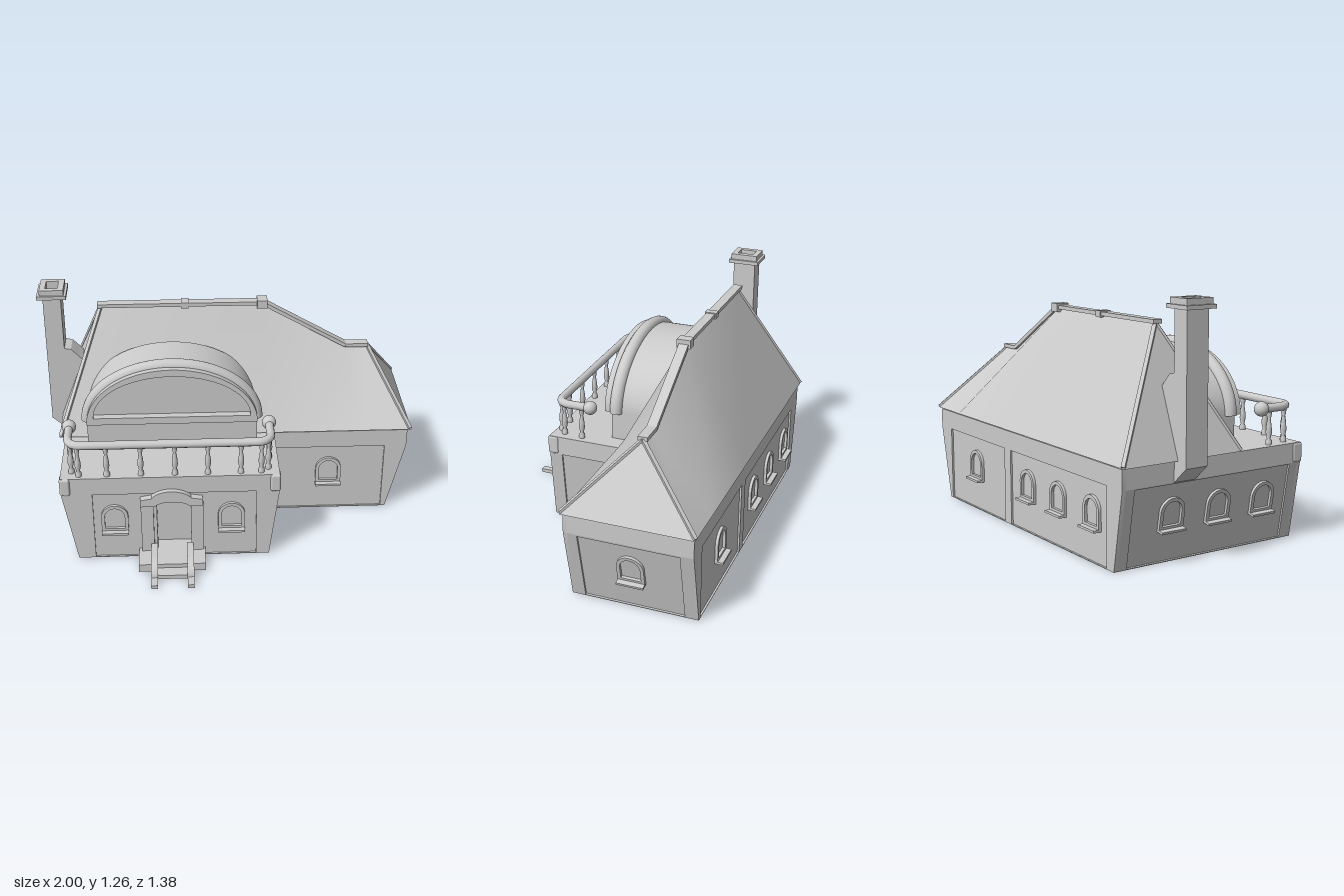
import * as THREE from 'three';
import { toCreasedNormals } from 'three/addons/utils/BufferGeometryUtils.js';
import { RoundedBoxGeometry } from 'three/addons/geometries/RoundedBoxGeometry.js';

const mat = new THREE.MeshStandardMaterial({ color: 0xcccccc, side: THREE.DoubleSide });
const V = (x, y, z) => new THREE.Vector3(x, y, z);

function add(parent, name, geo, x = 0, y = 0, z = 0) {
  const m = new THREE.Mesh(geo, mat);
  m.name = name;
  m.position.set(x, y, z);
  parent.add(m);
  return m;
}
// box given by its limits on each axis
const box = (p, name, x0, x1, y0, y1, z0, z1) =>
  add(p, name, new THREE.BoxGeometry(x1 - x0, y1 - y0, z1 - z0), (x0 + x1) / 2, (y0 + y1) / 2, (z0 + z1) / 2);
const poly = pts => new THREE.Shape(pts.map(p => new THREE.Vector2(p[0], p[1])));
const rect = (x0, x1, y0, y1) => poly([[x0, y0], [x1, y0], [x1, y1], [x0, y1]]);
// extrude a shape between two depths
function slab(p, name, shape, z0, z1) {
  const g = new THREE.ExtrudeGeometry(shape, { depth: z1 - z0, bevelEnabled: false, curveSegments: 32 });
  return add(p, name, toCreasedNormals(g, 0.5), 0, 0, z0);
}
// round-headed outline: straight sides up to yc, elliptical head above
function arch(cx, rx, y0, yc, ry) {
  const s = new THREE.Shape();
  s.moveTo(cx - rx, y0);
  s.lineTo(cx + rx, y0);
  s.lineTo(cx + rx, yc);
  s.absellipse(cx, yc, rx, ry, 0, Math.PI, false);
  s.closePath();
  return s;
}
// square beam between two points
function beam(p, name, a, b, w, h) {
  const m = add(p, name, new THREE.BoxGeometry(w, h, a.distanceTo(b)));
  m.position.copy(a).lerp(b, 0.5);
  m.lookAt(b);
}

function windowUnit(p, x) {
  const g = new THREE.Group();
  g.name = 'window';
  const frame = arch(0, 0.07, 0.17, 0.26, 0.07);
  frame.holes.push(arch(0, 0.052, 0.188, 0.26, 0.052));
  slab(g, 'windowFrame', frame, -0.012, 0.005);
  box(g, 'windowSill', -0.07, 0.07, 0.163, 0.175, -0.01, 0.033);
  g.position.x = x;
  p.add(g);
}

// wall with raised border, recessed panels and windows; outer face at local z = 0
function wall(p, name, outline, panels, windows, pos, turn, tilt = 0, door) {
  const g = new THREE.Group();
  g.name = name;
  const sheet = poly(outline), border = poly(outline);
  if (door) sheet.holes.push(door);
  panels.forEach(([a, b]) => border.holes.push(rect(a, b, 0.004, 0.4)));
  slab(g, 'wallSheet', sheet, -0.02, -0.01);
  slab(g, 'wallBorder', border, -0.01, 0);
  windows.forEach(x => windowUnit(g, x));
  g.position.copy(pos);
  g.rotation.set(tilt, turn, 0, 'YXZ');
  p.add(g);
}

// end wall: leaning lower part with an upright band above
function endWall(p, name, xBase, xTop, zMin, zMax, windows) {
  const side = Math.sign(xTop), lean = Math.abs(xTop - xBase), half = (zMax - zMin) / 2, mid = (zMin + zMax) / 2;
  const len = Math.hypot(lean, 0.4);
  wall(p, name, [[-half, 0], [half, 0], [half, len], [-half, len]], [[-half + 0.07, half - 0.07]],
    windows.map(z => (mid - z) * side), V(xBase, 0, mid), side * Math.PI / 2, Math.atan2(lean, 0.4));
  box(p, name + 'Band', Math.min(xTop, xTop - side * 0.02), Math.max(xTop, xTop - side * 0.02), 0.4, 0.5, zMin, zMax);
}

function buildWalls(p) {
  const door = rect(-0.39, -0.21, 0.004, 0.36);
  wall(p, 'frontWall', [[-0.81, 0], [0.2, 0], [0.25, 0.4], [0.25, 0.5], [-0.88, 0.5], [-0.88, 0.4]],
    [[-0.72, 0.13]], [-0.61, 0], V(0, 0, 0.41), 0, 0, door);
  wall(p, 'wingFrontWall', [[0.1, 0], [0.885, 0], [0.98, 0.4], [0.98, 0.5], [0.1, 0.5]],
    [[0.165, 0.86]], [0.555], V(0, 0, 0), 0);
  wall(p, 'backWall', [[-0.885, 0], [0.81, 0], [0.88, 0.4], [0.88, 0.5], [-0.98, 0.5], [-0.98, 0.4]],
    [[-0.86, -0.23], [-0.165, 0.75]], [-0.555, 0.01, 0.31, 0.62], V(0, 0, -0.66), Math.PI);
  endWall(p, 'leftEndWall', 0.885, 0.98, -0.66, 0, [-0.33]);
  endWall(p, 'rightEndWall', -0.81, -0.88, -0.66, 0.41, [-0.36, -0.085, 0.19]);
  endWall(p, 'frontBlockSide', 0.2, 0.25, 0, 0.41, []);
  box(p, 'balconyFloor', -0.88, 0.25, 0.48, 0.5, -0.02, 0.41);
  for (const x of [-0.858, 0.228]) {
    add(p, 'cornerCap', new RoundedBoxGeometry(0.054, 0.1, 0.06, 3, 0.012), x, 0.45, 0.39);
    add(p, 'cornerCorbel', new THREE.CylinderGeometry(0.025, 0.008, 0.05, 16), x, 0.377, 0.388);
  }
}

function buildRoof(p) {
  // each row pairs an eave x with a ridge point
  const rows = [[-0.91, -0.67, 1.13], [0.2, 0.2, 1.13], [0.74, 0.66, 0.862], [1, 0.78, 0.862]];
  const pos = [];
  const tri = (...v) => v.forEach(q => pos.push(...q));
  const eave = (r, z) => [r[0], 0.507, z], ridge = r => [r[1], r[2], -0.33];
  const F = 0.01, B = -0.67;
  for (let i = 0; i < 3; i++) {
    const a = rows[i], b = rows[i + 1];
    tri(eave(a, F), eave(b, F), ridge(b), eave(a, F), ridge(b), ridge(a));
    tri(eave(b, B), eave(a, B), ridge(a), eave(b, B), ridge(a), ridge(b));
  }
  tri(eave(rows[3], F), eave(rows[3], B), ridge(rows[3]));
  tri(eave(rows[0], B), eave(rows[0], F), ridge(rows[0]));
  const g = new THREE.BufferGeometry();
  g.setAttribute('position', new THREE.Float32BufferAttribute(pos, 3));
  add(p, 'roof', toCreasedNormals(g, 0.6));
  // ridge capping, collars and hip strips
  const line = [V(-0.69, 1.13, -0.33), V(0.2, 1.13, -0.33), V(0.66, 0.865, -0.33), V(0.785, 0.865, -0.33)];
  for (let i = 0; i < 3; i++) beam(p, 'ridgeCap', line[i], line[i + 1], 0.05, 0.02);
  box(p, 'ridgeCollar', -0.24, -0.2, 1.112, 1.145, -0.361, -0.299);
  box(p, 'ridgeCollar', 0.17, 0.225, 1.105, 1.15, -0.366, -0.294);
  for (const z of [F, B]) for (const r of [rows[0], rows[3]])
    beam(p, 'hipStrip', V(r[0] * 0.992, 0.515, z), V(r[1], r[2], -0.33), 0.02, 0.012);
}

function buildDormer(p) {
  const cx = -0.3, base = 0.65;
  slab(p, 'dormerBarrel', arch(cx, 0.45, 0.5, base, 0.32), -0.19, 0.09);
  const ring = arch(cx, 0.45, base, base + 0.001, 0.319);
  ring.holes.push(arch(cx, 0.412, base + 0.04, base + 0.041, 0.24));
  slab(p, 'dormerWindowRing', ring, 0.08, 0.13);
  const pts = [];
  for (let i = 0; i <= 40; i++) {
    const a = Math.PI * i / 40;
    pts.push(V(cx + 0.445 * Math.cos(a), base + 0.315 * Math.sin(a), 0.065));
  }
  add(p, 'dormerArchMoulding', new THREE.TubeGeometry(new THREE.CatmullRomCurve3(pts), 64, 0.035, 14, false));
}

function buildBalustrade(p) {
  const y = 0.682, path = new THREE.CurvePath();
  const corner = (a, b, c) => path.add(new THREE.QuadraticBezierCurve3(a, b, c));
  const straight = (a, b) => path.add(new THREE.LineCurve3(a, b));
  straight(V(-0.835, y, 0.19), V(-0.835, y, 0.31));
  corner(V(-0.835, y, 0.31), V(-0.83, y, 0.38), V(-0.75, y, 0.38));
  straight(V(-0.75, y, 0.38), V(0.13, y, 0.38));
  corner(V(0.13, y, 0.38), V(0.2, y, 0.38), V(0.205, y, 0.31));
  straight(V(0.205, y, 0.31), V(0.205, y, 0.19));
  add(p, 'handrail', new THREE.TubeGeometry(path, 90, 0.022, 12, false));
  for (const x of [-0.835, 0.205]) add(p, 'railKnob', new THREE.SphereGeometry(0.037, 20, 14), x, y, 0.19);
  const prof = [[0.016, 0], [0.016, 0.02], [0.009, 0.03], [0.016, 0.06], [0.014, 0.09], [0.008, 0.13], [0.013, 0.145], [0.013, 0.17]];
  const lathe = new THREE.LatheGeometry(prof.map(q => new THREE.Vector2(...q)), 14);
  const spots = [-0.64, -0.465, -0.29, -0.12, 0.05].map(x => [x, 0.38]);
  for (const x of [-0.835, 0.205]) spots.push([x, 0.24], [x + (x < 0 ? 0.012 : -0.012), 0.345]);
  spots.push([-0.785, 0.378], [0.155, 0.378]);
  spots.forEach(([x, z]) => add(p, 'baluster', lathe, x, 0.5, z));
}

function buildEntrance(p) {
  const cx = -0.31;
  // recessed door with jambs and surround
  box(p, 'door', -0.39, -0.21, 0, 0.36, 0.32, 0.33);
  box(p, 'doorSoffit', -0.39, -0.21, 0.355, 0.365, 0.33, 0.4);
  for (const s of [-1, 1]) {
    const j = -0.3 + s * 0.095;
    box(p, 'doorJamb', j - 0.005, j + 0.005, 0, 0.36, 0.33, 0.4);
    const x = cx + s * 0.13;
    box(p, 'doorPilaster', x - 0.033, x + 0.033, 0, 0.34, 0.39, 0.425);
  }
  const hood = new THREE.Shape();
  hood.moveTo(-0.475, 0.335);
  hood.lineTo(-0.4, 0.335);
  hood.bezierCurveTo(-0.37, 0.37, -0.25, 0.37, -0.22, 0.335);
  hood.lineTo(-0.15, 0.335);
  hood.lineTo(-0.15, 0.375);
  hood.lineTo(-0.21, 0.385);
  hood.bezierCurveTo(-0.25, 0.44, -0.38, 0.44, -0.415, 0.385);
  hood.lineTo(-0.475, 0.375);
  slab(p, 'doorHood', hood, 0.395, 0.437);
  // landing, step and curved cheeks
  box(p, 'landing', -0.49, -0.14, 0, 0.045, 0.33, 0.545);
  box(p, 'step', -0.41, -0.21, 0, 0.022, 0.54, 0.61);
  const cheek = new THREE.Shape();
  cheek.moveTo(0.42, 0);
  cheek.lineTo(0.69, 0);
  cheek.lineTo(0.69, 0.021);
  cheek.lineTo(0.625, 0.021);
  cheek.quadraticCurveTo(0.62, 0.07, 0.545, 0.09);
  cheek.lineTo(0.42, 0.09);
  for (const x of [-0.425, -0.237]) {
    const m = slab(p, 'stairCheek', cheek, 0, 0.035);
    m.rotation.y = -Math.PI / 2;
    m.position.set(x + 0.035, 0, 0);
  }
}

function buildChimney(p) {
  const stack = poly([[-0.97, 0.48], [-0.88, 0.4], [-0.8, 0.5], [-0.72, 0.8], [-0.76, 0.82], [-0.815, 0.88],
    [-0.84, 0.905], [-0.875, 0.912], [-0.875, 1.2], [-0.97, 1.2]]);
  slab(p, 'chimneyStack', stack, -0.37, -0.247);
  const collar = (name, x0, x1, z0, z1, y0, y1) => {
    const s = rect(x0, x1, -z1, -z0);
    s.holes.push(rect(-0.955, -0.89, 0.265, 0.355));
    const m = slab(p, name, s, 0, y1 - y0);
    m.rotation.x = -Math.PI / 2;
    m.position.set(0, y0, 0);
  };
  collar('chimneyCollar', -1, -0.845, -0.395, -0.225, 1.21, 1.23);
  collar('chimneyNeck', -0.97, -0.875, -0.37, -0.247, 1.2, 1.21);
  collar('chimneyCap', -0.985, -0.858, -0.383, -0.235, 1.23, 1.26);
}

export function createModel() {
  const house = new THREE.Group();
  house.name = 'house';
  const parts = { walls: buildWalls, roofing: buildRoof, dormer: buildDormer, balustrade: buildBalustrade, entrance: buildEntrance, chimney: buildChimney };
  for (const [name, build] of Object.entries(parts)) {
    const g = new THREE.Group();
    g.name = name;
    build(g);
    house.add(g);
  }
  return house;
}
